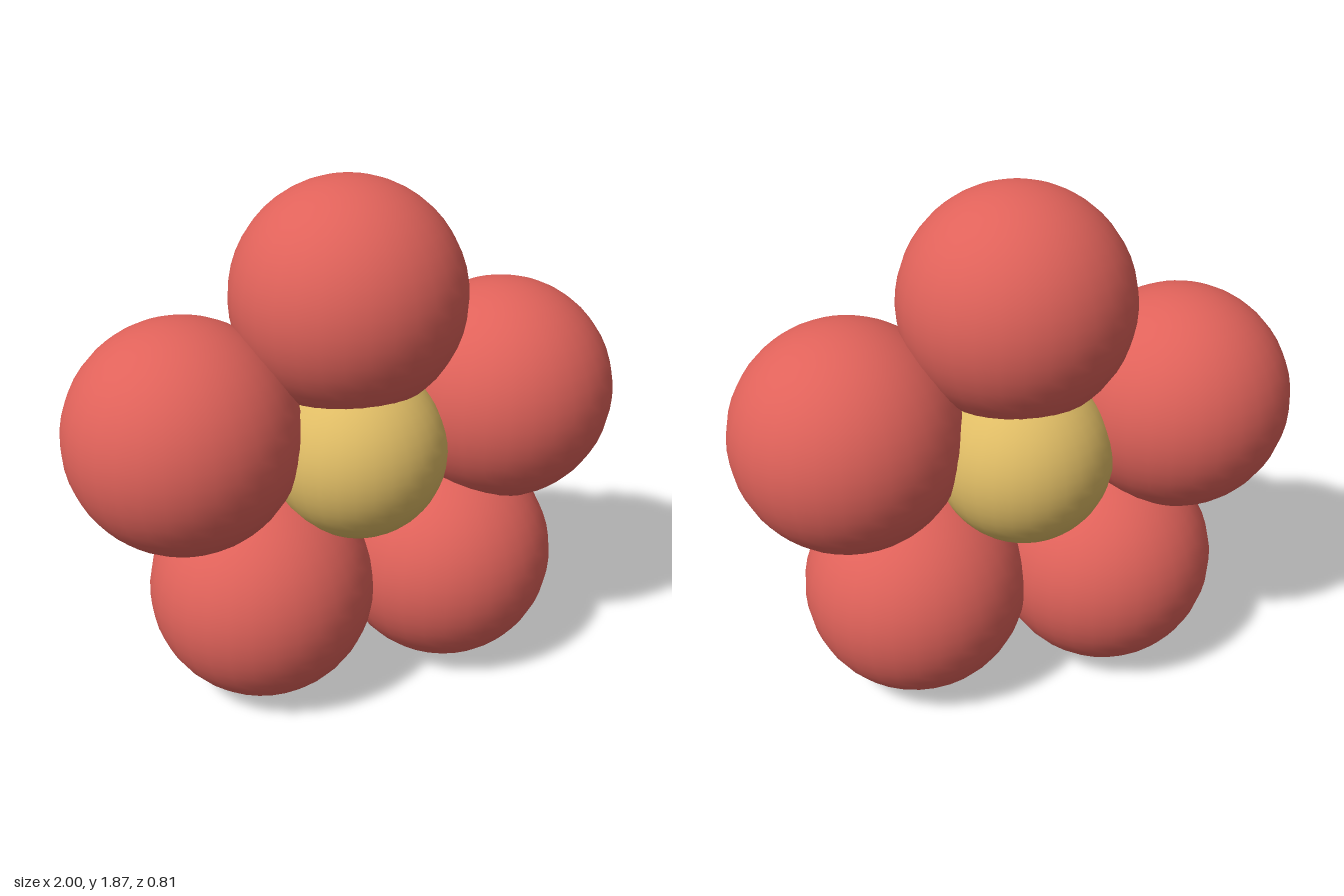
import * as THREE from 'three';

export function createModel() {
  const flower = new THREE.Group();
  flower.name = 'flower';

  const petalRed = new THREE.MeshStandardMaterial({ color: 0xe0625a });
  petalRed.name = 'petal red';
  const centreYellow = new THREE.MeshStandardMaterial({ color: 0xdfbc65 });
  centreYellow.name = 'centre yellow';

  const addBall = (name, geometry, material, x, y, z) => {
    const ball = new THREE.Mesh(geometry, material);
    ball.name = name;
    ball.position.set(x, y, z);
    flower.add(ball);
  };

  // Five round petals in a ring, the lower pair slightly off centre
  const petal = new THREE.SphereGeometry(0.407, 32, 24);
  const petals = [
    ['topPetal', 0, 1.466],
    ['leftPetal', 0.593, 1.044],
    ['rightPetal', -0.593, 1.044],
    ['lowerLeftPetal', 0.383, 0.407],
    ['lowerRightPetal', -0.335, 0.407],
  ];
  for (const [name, x, y] of petals) addBall(name, petal, petalRed, x, y, 0);

  // Flower centre: one ball bulging to the front, one to the back
  const centre = new THREE.SphereGeometry(0.315, 32, 24);
  addBall('frontCentre', centre, centreYellow, 0, 0.937, 0.092);
  addBall('backCentre', centre, centreYellow, 0, 0.937, -0.092);

  return flower;
}
